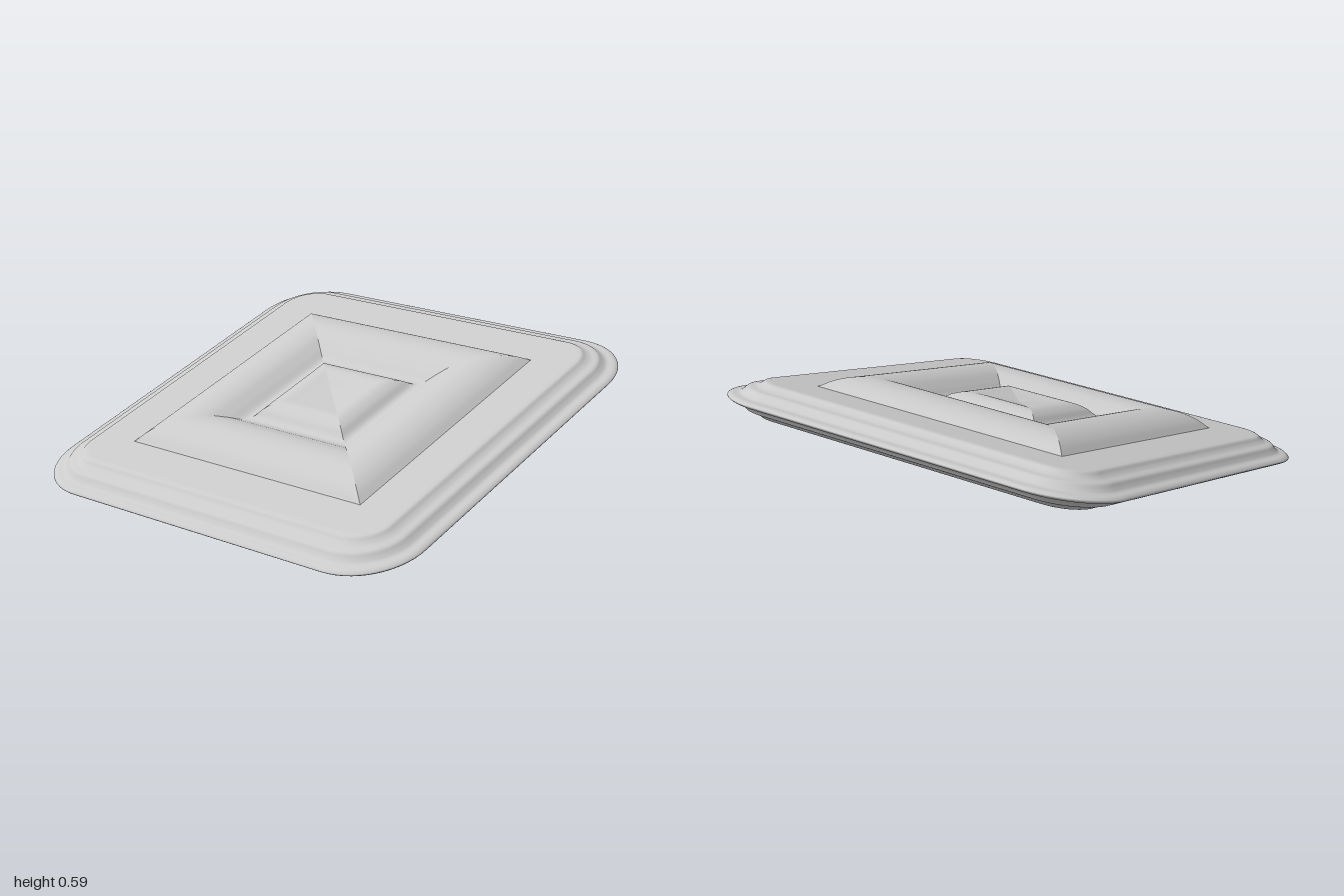
import * as THREE from 'three';

const TILT = Math.PI / 12;   // plate leans down towards the front
const CORNER = 0.7;          // centre of every rounded corner

// Smooth curve through [distance, height] pairs
function smooth(points, n) {
  return new THREE.CatmullRomCurve3(points.map(([t, h]) => new THREE.Vector3(t, h, 0)), false, 'centripetal').getPoints(n);
}

// Surface from rows of points, optionally closed along each row
function loft(rows, closed) {
  const n = rows[0].length, index = [];
  for (let i = 0; i < rows.length - 1; i++) {
    for (let j = 0; j < (closed ? n : n - 1); j++) {
      const k = (j + 1) % n;
      const a = i * n + j, b = i * n + k, c = a + n, d = b + n;
      index.push(a, b, c, b, d, c);
    }
  }
  const geo = new THREE.BufferGeometry();
  geo.setAttribute('position', new THREE.Float32BufferAttribute(rows.flat(2), 3));
  geo.setIndex(index);
  geo.computeVertexNormals();
  return geo;
}

// Rounded square outline reaching out to half-width t, as [x, z] pairs
function outline(t, steps = 14) {
  const pts = [];
  for (let q = 0; q < 4; q++) {
    const mid = (q + 0.5) * Math.PI / 2;
    const cx = Math.sign(Math.cos(mid)) * CORNER, cz = Math.sign(Math.sin(mid)) * CORNER;
    for (let i = 0; i <= steps; i++) {
      const a = (q + i / steps) * Math.PI / 2;
      pts.push([cx + (t - CORNER) * Math.cos(a), cz + (t - CORNER) * Math.sin(a)]);
    }
  }
  return pts;
}

export function createModel() {
  const group = new THREE.Group();
  const plate = new THREE.Group();
  plate.name = 'tiltedPlate';
  const mat = new THREE.MeshStandardMaterial({ color: 0xcccccc });
  const add = (parent, name, geo) => {
    const mesh = new THREE.Mesh(geo, mat);
    mesh.name = name;
    parent.add(mesh);
    return mesh;
  };

  // Stepped moulding around the edge, mirrored top to bottom
  const upper = [[0.825, 0.08], [0.845, 0.077], [0.862, 0.064], [0.882, 0.054], [0.915, 0.047],
    [0.932, 0.031], [0.95, 0.018], [0.985, 0.012]];
  const lower = upper.map(([t, h]) => [t, -h]).reverse();
  const rim = smooth([...upper, [1, 0], ...lower], 64);
  add(plate, 'mouldedRim', loft(rim.map(p => outline(p.x).map(([x, z]) => [x, p.y, z])), true));

  // Flat border between the moulding and the square cushion
  const border = new THREE.Shape(outline(0.825).map(([x, z]) => new THREE.Vector2(x, z)));
  const e = 0.64;
  border.holes.push(new THREE.Path([[-e, -e], [-e, e], [e, e], [e, -e]].map(p => new THREE.Vector2(...p))));
  const borderGeo = new THREE.ShapeGeometry(border).rotateX(-Math.PI / 2).translate(0, 0.08, 0);

  // One mitred quarter of the cushion: outer roll, valley, inner roll, sunken centre
  const wave = smooth([[0.64, 0.078], [0.595, 0.112], [0.54, 0.136], [0.47, 0.146], [0.4, 0.135],
    [0.34, 0.106], [0.29, 0.078], [0.26, 0.08], [0.22, 0.11], [0.17, 0.128], [0.1, 0.12], [0.001, 0.106]], 60);
  const panelGeo = loft(wave.map(p => [[-p.x, p.y, p.x], [p.x, p.y, p.x]]), false);

  // Same face above and below
  for (const side of ['top', 'bottom']) {
    const face = new THREE.Group();
    face.name = side + 'Face';
    add(face, side + 'Border', borderGeo);
    for (let i = 0; i < 4; i++) add(face, side + 'CushionPanel', panelGeo).rotation.y = i * Math.PI / 2;
    if (side === 'bottom') face.rotation.x = Math.PI;
    plate.add(face);
  }

  plate.rotation.x = TILT;
  plate.position.y = 0.292;
  group.add(plate);
  return group;
}
